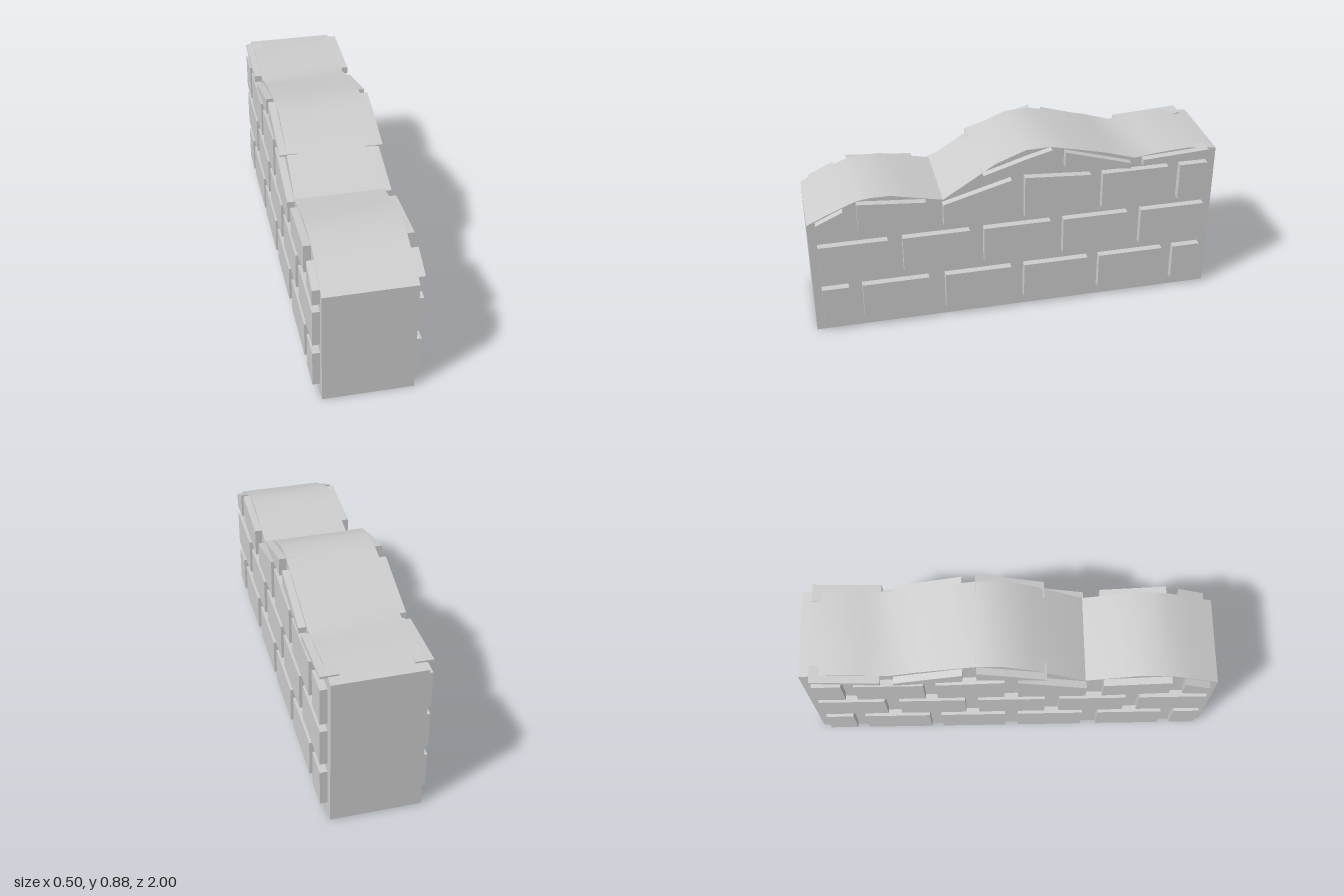
import * as THREE from 'three';
import { toCreasedNormals } from 'three/addons/utils/BufferGeometryUtils.js';

const WALL = 0.215, OUTER = 0.25, INNER = 0.165;

// Extrudes a [z, y] outline across the wall from x0 to x1
function slab(points, x0, x1) {
  const shape = new THREE.Shape(points.map(([z, y]) => new THREE.Vector2(z, y)));
  const geo = new THREE.ExtrudeGeometry(shape, { depth: x1 - x0, bevelEnabled: false });
  geo.rotateY(-Math.PI / 2);
  geo.translate(x1, 0, 0);
  return geo;
}

const rect = (z0, z1, y0, y1) => [[z0, y0], [z1, y0], [z1, y1], [z0, y1]];

export function createModel() {
  const model = new THREE.Group();
  model.name = 'brokenBrickWall';
  const stone = new THREE.MeshStandardMaterial({ color: 0xcccccc });
  stone.name = 'grey stone';

  // Wall core with the worn, wavy top
  const crest = [
    [1, 0.6], [0.88, 0.655], [0.76, 0.704], [0.69, 0.712], [0.6, 0.711], [0.48, 0.685], [0.355, 0.658],
    [0.1, 0.82], [-0.045, 0.876], [-0.163, 0.88], [-0.3, 0.85], [-0.447, 0.815], [-0.585, 0.772],
    [-0.7, 0.786], [-0.85, 0.796], [-1, 0.78],
  ];
  const core = new THREE.Mesh(toCreasedNormals(slab([[-1, 0], [1, 0], ...crest], -WALL, WALL), 0.6), stone);
  core.name = 'wallCore';
  model.add(core);

  // Whole bricks: two staggered courses
  const staggered = [[0.96, 0.83], [0.765, 0.44], [0.36, 0.03], [-0.035, -0.36], [-0.42, -0.75], [-0.81, -0.95]];
  const even = [[0.96, 0.63], [0.56, 0.235], [0.165, -0.165], [-0.23, -0.555], [-0.625, -0.95]];
  const bricks = [
    ...staggered.map(([a, b]) => rect(a, b, 0.06, 0.25)),
    ...even.map(([a, b]) => rect(a, b, 0.3, 0.49)),
    ...staggered.slice(4).map(([a, b]) => rect(a, b, 0.532, 0.722)),
    // Worn bricks along the top
    [[0.96, 0.532], [0.83, 0.546], [0.83, 0.672], [0.96, 0.612]],
    [[0.765, 0.556], [0.44, 0.532], [0.44, 0.674], [0.765, 0.702]],
    [[0.36, 0.532], [0.03, 0.532], [0.03, 0.742], [0.36, 0.648]],
    [[-0.035, 0.534], [-0.36, 0.534], [-0.36, 0.724], [-0.035, 0.746]],
    [[0.165, 0.774], [-0.165, 0.79], [-0.165, 0.88], [-0.04, 0.846], [0.165, 0.782]],
    [[-0.23, 0.778], [-0.558, 0.735], [-0.558, 0.764], [-0.23, 0.86]],
    [[-0.62, 0.74], [-0.95, 0.782], [-0.95, 0.793], [-0.62, 0.774]],
  ];
  for (const side of [1, -1]) {
    const group = new THREE.Group();
    group.name = side > 0 ? 'leftBricks' : 'rightBricks';
    for (const outline of bricks) {
      const geo = side > 0 ? slab(outline, INNER, OUTER) : slab(outline, -OUTER, -INNER);
      const brick = new THREE.Mesh(geo, stone);
      brick.name = 'brick';
      group.add(brick);
    }
    model.add(group);
  }
  return model;
}
